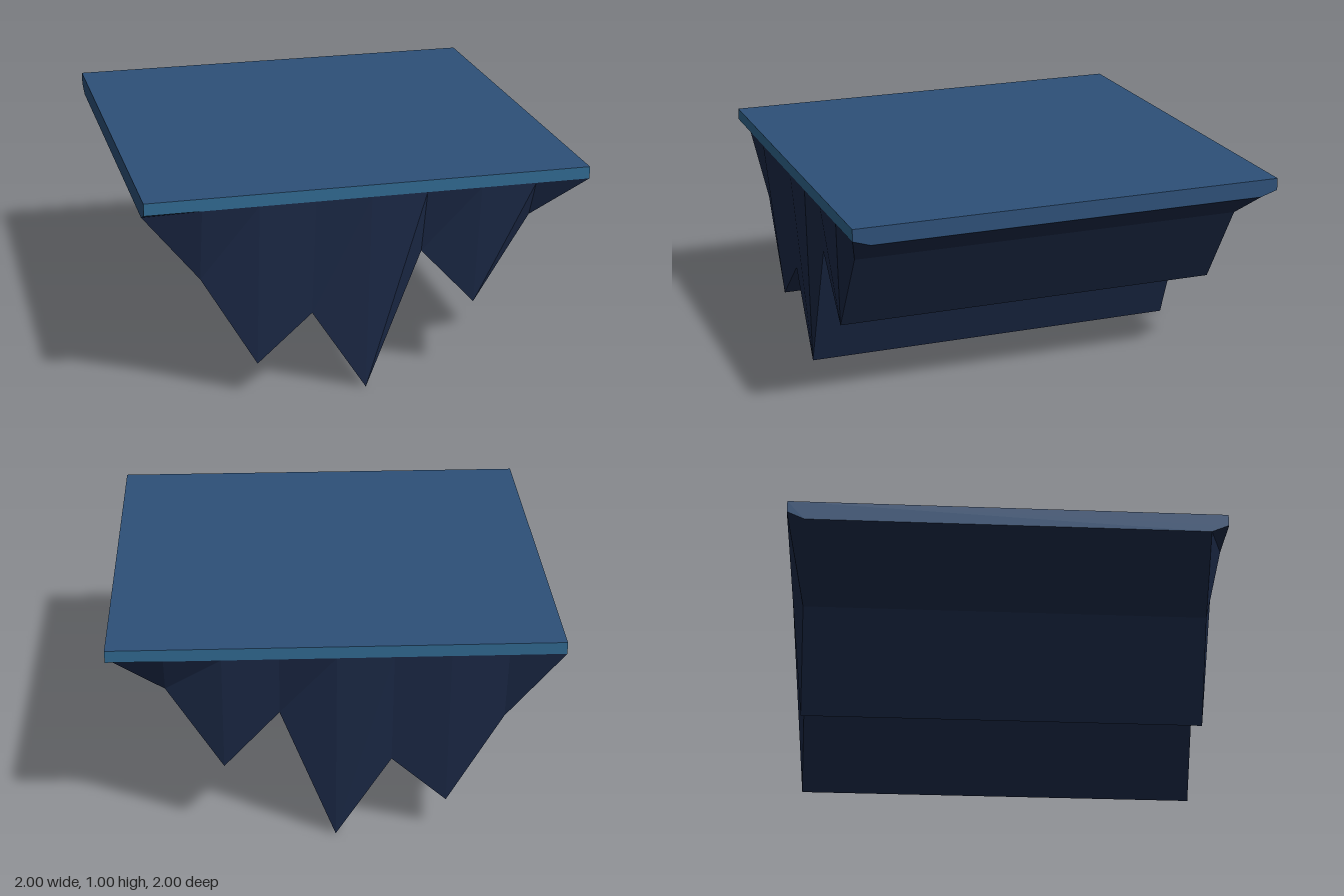
import * as THREE from 'three';

const RIM = 0.945; // lower edge of the front and back bands
const INNER = 0.92; // z where the ridges reach full depth
const HEIGHTS = [0.91, 0.6, 0.17, 0.39, 0, 0.64, 0.37, 0.77, 0.92];

// Flat-shaded mesh from a list of triangles (three Vector3 each)
function facetMesh(name, color, points) {
  const geometry = new THREE.BufferGeometry().setFromPoints(points);
  geometry.computeVertexNormals();
  const material = new THREE.MeshStandardMaterial({ color, flatShading: true });
  const mesh = new THREE.Mesh(geometry, material);
  mesh.name = name;
  return mesh;
}

const v = (x, y, z) => new THREE.Vector3(x, y, z);
const fan = (...p) => p.slice(2).flatMap((q, i) => [p[0], p[i + 1], q]);

export function createModel() {
  const group = new THREE.Group();
  group.name = 'floatingSlab';

  // Flat square top
  group.add(facetMesh('topSurface', 0x2d5078,
    fan(v(-1, 1, 1), v(1, 1, 1), v(1, 1, -1), v(-1, 1, -1))));

  // Side edges, mirrored, tapering to the first and last ridge heights
  for (const s of [1, -1]) {
    const low = s > 0 ? HEIGHTS[HEIGHTS.length - 1] : HEIGHTS[0];
    group.add(facetMesh(s > 0 ? 'leftEdge' : 'rightEdge', 0x2d5078,
      fan(v(s, 1, s), v(s, RIM, s), v(s, low, s * INNER),
        v(s, low, -s * INNER), v(s, RIM, -s), v(s, 1, -s))));
  }

  // Front and back bands
  for (const s of [1, -1]) {
    group.add(facetMesh(s > 0 ? 'frontBand' : 'backBand', 0x30688f,
      fan(v(-s, RIM, s), v(s, RIM, s), v(s, 1, s), v(-s, 1, s))));
  }

  // Jagged underside: ridges along z, sloping up to the rim at both ends
  const rows = [1, INNER, -INNER, -1];
  const at = (i, r) => v(-1 + i * 0.25, r % 3 === 0 ? RIM : HEIGHTS[i], rows[r]);
  const under = [];
  for (let r = 0; r < 3; r++) {
    for (let i = 0; i < HEIGHTS.length - 1; i++) {
      const a = at(i, r), b = at(i + 1, r), c = at(i + 1, r + 1), d = at(i, r + 1);
      under.push(a, d, b, b, d, c);
    }
  }
  group.add(facetMesh('ridgedUnderside', 0x1c2a48, under));

  return group;
}
